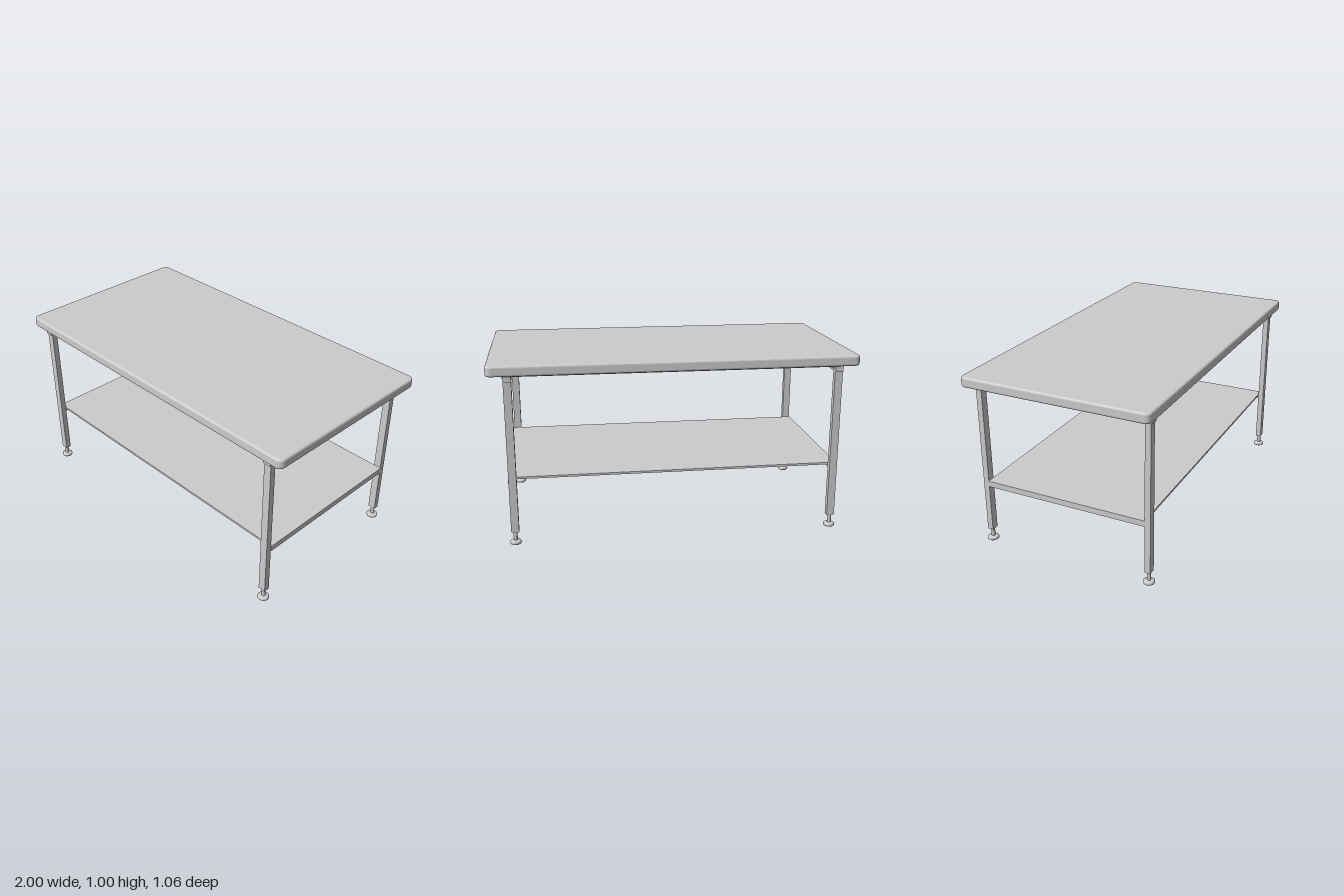
import * as THREE from 'three';

const LEG_X = 0.89, LEG_Z = 0.481, RAIL_Z = 0.43;

export function createModel() {
  const table = new THREE.Group();
  table.name = 'workTable';
  const grey = new THREE.MeshStandardMaterial({ color: 0xcccccc });

  const add = (name, geometry, x = 0, y = 0, z = 0) => {
    const mesh = new THREE.Mesh(geometry, grey);
    mesh.name = name;
    mesh.position.set(x, y, z);
    table.add(mesh);
    return mesh;
  };
  // Box given by its size, centre x and z, and bottom and top heights
  const box = (name, w, d, y0, y1, x = 0, z = 0) =>
    add(name, new THREE.BoxGeometry(w, y1 - y0, d), x, (y0 + y1) / 2, z);

  // Table top: rounded rectangle with rolled edges
  const bevel = 0.012, bottom = 0.946, top = 1.003;
  const w = 1 - bevel, d = 0.532 - bevel, r = 0.022;
  const outline = new THREE.Shape();
  outline.absarc(w - r, d - r, r, 0, Math.PI / 2);
  outline.absarc(-w + r, d - r, r, Math.PI / 2, Math.PI);
  outline.absarc(-w + r, -d + r, r, Math.PI, Math.PI * 1.5);
  outline.absarc(w - r, -d + r, r, Math.PI * 1.5, Math.PI * 2);
  const topGeometry = new THREE.ExtrudeGeometry(outline, {
    depth: top - bottom - 2 * bevel, bevelSize: bevel, bevelThickness: bevel,
    bevelSegments: 4, curveSegments: 6,
  });
  topGeometry.rotateX(-Math.PI / 2);
  add('tableTop', topGeometry, 0, bottom + bevel, 0);

  // Shelf sheet between the legs
  box('shelf', 1.83, 0.93, 0.366, 0.378);

  // Levelling foot: domed pad, in separate runs so the edges stay sharp
  const pad = [[0, 0], [0.027, 0], [0.031, 0.004], [0.031, 0.014], [0.026, 0.018], [0.011, 0.021]]
    .map(([x, y]) => new THREE.Vector2(x, y));
  const padGeometry = new THREE.LatheGeometry(pad, 24);
  const stemGeometry = new THREE.CylinderGeometry(0.011, 0.011, 0.06, 20);

  // Flared clip section: flat against the top, curving down to the rail
  const clip = new THREE.Shape();
  clip.moveTo(0, 0);
  clip.lineTo(0.02, 0);
  clip.lineTo(0.02, -0.003);
  clip.quadraticCurveTo(0.006, -0.005, 0.004, -0.02);
  clip.lineTo(0, -0.02);
  const clipGeometry = new THREE.ExtrudeGeometry(clip, { depth: 0.094, bevelEnabled: false, curveSegments: 6 });
  clipGeometry.translate(0, 0, -0.047);

  for (const sx of [-1, 1]) {
    // End frame members
    box('upperEndRail', 0.043, 1.01, 0.912, 0.947, sx * LEG_X);
    box('shelfEndRail', 0.038, 0.93, 0.345, 0.376, sx * 0.896);

    for (const sz of [-1, 1]) {
      box('leg', 0.043, 0.032, 0.07, 0.915, sx * LEG_X, sz * LEG_Z);
      add('footPad', padGeometry, sx * LEG_X, 0, sz * LEG_Z);
      add('footStem', stemGeometry, sx * LEG_X, 0.045, sz * LEG_Z);

      // Clips on the outer and inner faces of the end rail
      for (const side of [-1, 1]) {
        const c = add('railClip', clipGeometry, sx * LEG_X + side * 0.021, 0.945, sz * RAIL_Z);
        if (side < 0) c.rotation.y = Math.PI;
      }
    }
  }

  // Long rails under the top, front and back
  for (const sz of [-1, 1]) box('longRail', 1.74, 0.045, 0.928, 0.947, 0, sz * RAIL_Z);

  return table;
}
